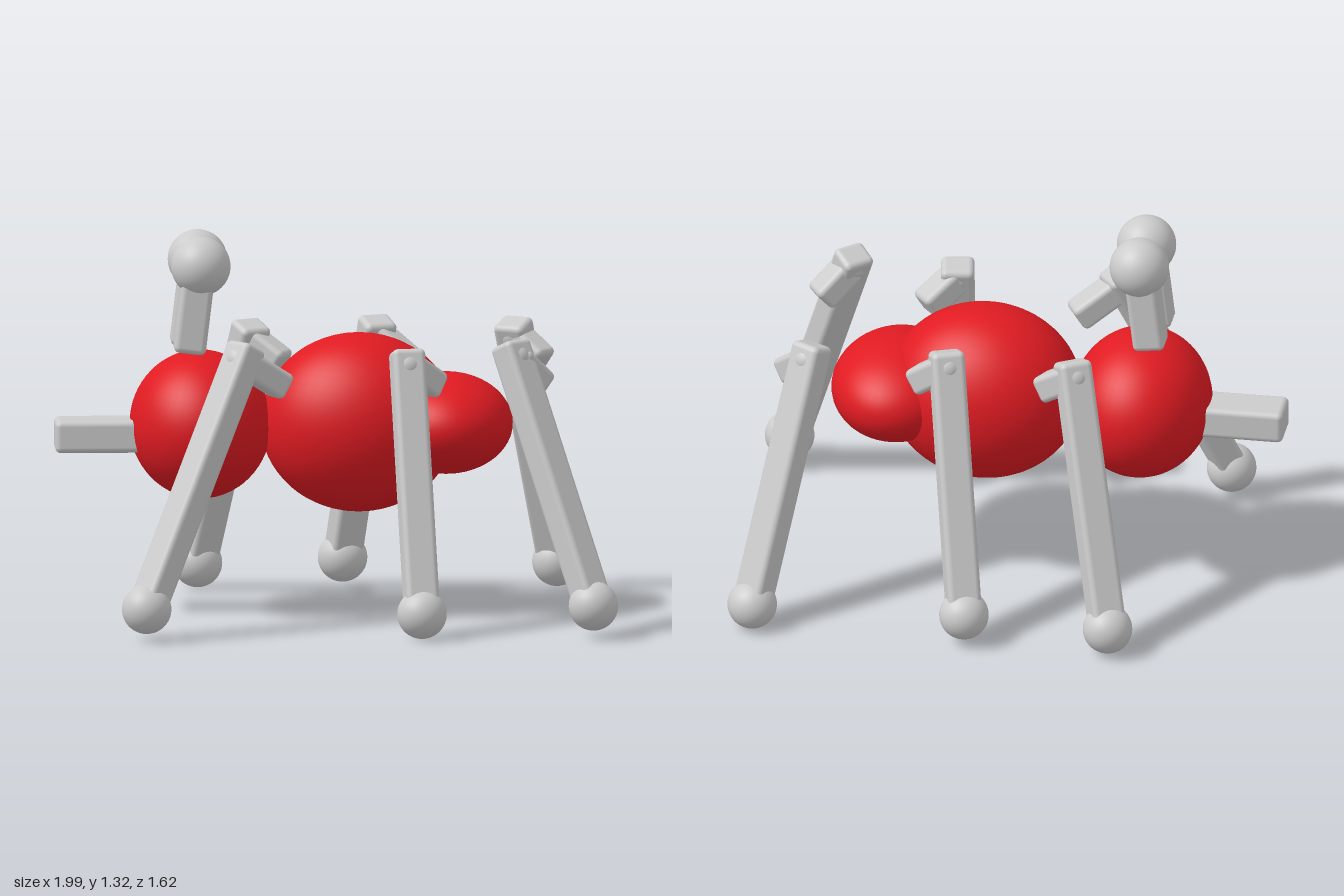
import * as THREE from 'three';
import { RoundedBoxGeometry } from 'three/addons/geometries/RoundedBoxGeometry.js';

const grey = new THREE.MeshStandardMaterial({ color: 0xcccccc });
const red = new THREE.MeshStandardMaterial({ color: 0xe01b22 });
const YAW = 0.17; // the body is turned slightly about the vertical

const vec = (p) => new THREE.Vector3(...p);

function ellipsoid(name, material, centre, radii) {
  const mesh = new THREE.Mesh(new THREE.SphereGeometry(1, 48, 32), material);
  mesh.name = name;
  mesh.position.set(...centre);
  mesh.scale.set(...radii);
  mesh.rotation.y = YAW;
  return mesh;
}

const ball = (name, centre, r) => ellipsoid(name, grey, centre, [r, r, r]);

// Rounded bar running from a to b; its width axis stays horizontal
function bar(name, a, b, width, depth) {
  const from = vec(a), to = vec(b);
  const along = to.clone().sub(from);
  const length = along.length();
  along.normalize();
  const side = new THREE.Vector3().crossVectors(along, new THREE.Vector3(0, 1, 0)).normalize();
  const out = new THREE.Vector3().crossVectors(side, along);
  const mesh = new THREE.Mesh(new RoundedBoxGeometry(width, length, depth, 3, 0.02), grey);
  mesh.name = name;
  mesh.quaternion.setFromRotationMatrix(new THREE.Matrix4().makeBasis(side, along, out));
  mesh.position.copy(from).lerp(to, 0.5);
  return mesh;
}

// Foot, knee and hip centres of each leg
const LEGS = {
  leftFrontLeg: [[-0.6, 0.115, 0.725], [-0.295, 0.985, 0.385], [-0.18, 0.83, 0.305]],
  leftMiddleLeg: [[0.33, 0.09, 0.555], [0.245, 0.965, 0.295], [0.335, 0.83, 0.21]],
  leftRearLeg: [[0.91, 0.115, 0.455], [0.59, 0.985, 0.215], [0.695, 0.83, 0.15]],
  rightFrontLeg: [[-0.58, 0.095, -0.515], [-0.36, 0.965, -0.255], [-0.25, 0.83, -0.23]],
  rightMiddleLeg: [[-0.09, 0.11, -0.605], [0.065, 0.975, -0.345], [0.18, 0.83, -0.32]],
  rightRearLeg: [[0.635, 0.09, -0.73], [0.52, 0.965, -0.425], [0.63, 0.83, -0.39]],
};

function leg(name, [foot, knee, hip]) {
  const group = new THREE.Group();
  group.name = name;
  const joint = vec(knee).lerp(vec(foot), 0.06).toArray();
  group.add(
    ball('foot', foot, 0.085),
    bar('shin', foot, knee, 0.115, 0.1),
    ball('knee', joint, 0.055),
    bar('thigh', joint, hip, 0.1, 0.095),
  );
  return group;
}

export function createModel() {
  const model = new THREE.Group();

  // Three-part body
  model.add(
    ellipsoid('head', red, [-0.495, 0.665, 0.085], [0.243, 0.255, 0.287]),
    ellipsoid('thorax', red, [0.04, 0.668, -0.013], [0.337, 0.308, 0.284]),
    ellipsoid('abdomen', red, [0.335, 0.664, -0.06], [0.23, 0.173, 0.286]),
  );

  // Jaw
  const jaw = new THREE.Mesh(new RoundedBoxGeometry(0.36, 0.112, 0.155, 3, 0.02), grey);
  jaw.name = 'jaw';
  jaw.position.set(-0.81, 0.632, 0.145);
  jaw.rotation.y = YAW;
  model.add(jaw);

  // Antennae with round tips
  for (const [name, x, z] of [['leftAntenna', -0.482, 0.175], ['rightAntenna', -0.515, 0.005]]) {
    const antenna = new THREE.Group();
    antenna.name = name;
    const stalk = new THREE.Mesh(new RoundedBoxGeometry(0.11, 0.3, 0.11, 3, 0.02), grey);
    stalk.name = 'stalk';
    stalk.position.set(x - 0.022, 1.075, z + 0.004);
    stalk.rotation.set(0, YAW, -0.12);
    antenna.add(stalk, ball('tip', [x, 1.225, z], 0.102));
    model.add(antenna);
  }

  // Six legs
  for (const [name, points] of Object.entries(LEGS)) model.add(leg(name, points));

  return model;
}
